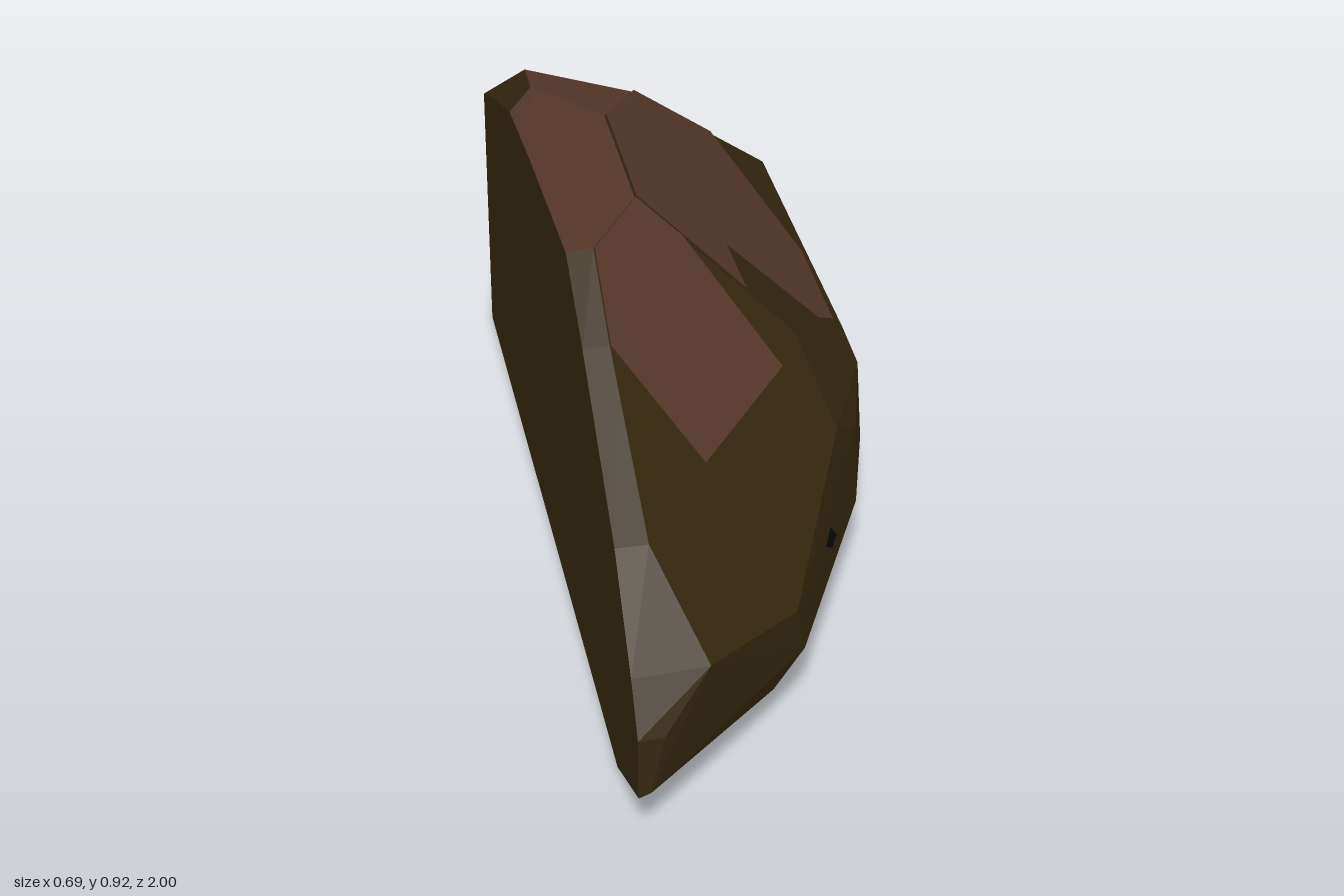
import * as THREE from 'three';
import { ConvexGeometry } from 'three/addons/geometries/ConvexGeometry.js';

const material = (name, color) =>
  Object.assign(new THREE.MeshStandardMaterial({ color, side: THREE.DoubleSide, flatShading: true }), { name });
const V = (p) => new THREE.Vector3(...p);

// Corners of the rock, grouped by area
const corners = [
  // front slope
  [-0.29, 0.91, 0.228], [-0.29, 0.79, 0.411], [-0.277, 0.55, 0.76], [-0.185, 0.36, 0.919],
  [0.035, 0.3, 0.698], [0.215, 0.425, 0.252], [0.155, 0.578, 0.103], [-0.175, 0.9155, 0.056],
  // nose and lower front
  [-0.345, 0.12, 1], [-0.345, 0.26, 1], [-0.32, 0.13, 1], [-0.29, 0.255, 0.99],
  [-0.013, 0.11, 0.7], [0.06, 0.175, 0.66],
  // wide side
  [0.28, 0.175, 0.17], [0.285, 0.34, 0.13], [0.345, 0.175, -0.07], [0.335, 0.37, -0.07], [0.33, 0.383, -0.2],
  // crest and rear slope
  [-0.17, 0.891, -0.34], [-0.05, 0.75, -0.69], [0.16, 0.525, -0.865], [-0.27, 0.75, -0.84], [-0.29, 0.83, -0.61],
  // flat back cut
  [-0.345, 0.61, -1], [-0.242, 0.646, -1], [0.232, 0.414, -1], [0.318, 0.3555, -1],
  [0.345, 0.175, -1], [0.19, 0.02, -1], [0.13, 0, -1], [-0.345, 0, -1],
  // flat side cut
  [-0.345, 0.69, -0.83], [-0.345, 0.8, -0.56], [-0.345, 0.845, -0.26], [-0.345, 0.9, 0.22],
  [-0.345, 0.79, 0.41], [-0.345, 0.55, 0.76], [-0.345, 0.36, 0.93],
  // underside
  [-0.345, 0, 0.75], [-0.31, 0, 0.75], [-0.04, 0, 0.53], [0.17, 0, -0.15],
];

// Worn brown areas
const frontWear = [
  [-0.29, 0.91, 0.228], [-0.29, 0.79, 0.411], [-0.12, 0.56, 0.521],
  [0.105, 0.56, 0.202], [-0.08, 0.819, 0.068], [-0.175, 0.9155, 0.056],
];
// x and z only; height follows the side slope
const sideWear = [
  [-0.175, 0.056], [-0.08, 0.068], [0.05, 0.09], [0.045, -0.1], [0.25, -0.105], [0.3, -0.18],
  [0.3, -0.5], [0.16, -0.865], [-0.05, -0.69], [-0.17, -0.34],
].map(([x, z]) => [x, 0.733 + 0.05 * z - 1.03 * x, z]);

// Dark pits, as x and y outlines cast onto the front
const pits = [
  [[0.14, 0.28], [0.16, 0.295], [0.185, 0.24], [0.165, 0.24]],
  [[-0.01, 0.083], [0.025, 0.12], [0.1, 0.122], [0.102, 0.11], [0.02, 0.065]],
  [[0.06, 0.035], [0.078, 0.04], [0.095, 0.08]],
];

// Thin flat plate lifted slightly off the rock
function plate(name, outline, mat, lift) {
  const pts = outline.map(V);
  const flat = pts.map((p) => new THREE.Vector2(p.z - p.x, p.y - 0.5 * (p.x + p.z)));
  const faces = THREE.ShapeUtils.triangulateShape(flat, []);
  const tri = new THREE.Triangle(...faces[0].map((i) => pts[i]));
  const normal = tri.getNormal(new THREE.Vector3());
  const outward = tri.getMidpoint(new THREE.Vector3()).sub(new THREE.Vector3(0, 0.35, 0));
  normal.multiplyScalar(normal.dot(outward) < 0 ? -lift : lift);
  pts.forEach((p) => p.add(normal));
  const geo = new THREE.BufferGeometry().setFromPoints(faces.flat().map((i) => pts[i]));
  geo.computeVertexNormals();
  const mesh = new THREE.Mesh(geo, mat);
  mesh.name = name;
  return mesh;
}

export function createModel() {
  const dark = material('dark stone', 0x35280f);
  const brown = material('brown stone', 0x56392a);
  const black = material('pit black', 0x07090c);
  const group = new THREE.Group();
  group.name = 'rock';

  // Body: top facets and underside are brown
  const geo = new ConvexGeometry(corners.map(V));
  const pos = geo.attributes.position;
  const tri = new THREE.Triangle();
  const n = new THREE.Vector3();
  const mid = new THREE.Vector3();
  for (let i = 0; i < pos.count; i += 3) {
    tri.setFromAttributeAndIndices(pos, i, i + 1, i + 2);
    tri.getNormal(n);
    tri.getMidpoint(mid);
    const isBrown = (n.y > 0.75 && mid.z < 0.2) || n.y < -0.99;
    geo.addGroup(i, 3, isBrown ? 1 : 0);
  }
  const body = new THREE.Mesh(geo, [dark, brown]);
  body.name = 'rockBody';
  body.updateMatrixWorld();
  group.add(body);

  group.add(plate('frontWear', frontWear, brown, 0.004));
  group.add(plate('sideWear', sideWear, brown, 0.006));
  group.add(plate('undersideCorner', [[-0.345, 0, -1], [-0.13, 0, -1], [-0.345, 0, -0.3]], dark, 0.002));

  const ray = new THREE.Raycaster();
  pits.forEach((outline, i) => {
    const pts = outline.map(([x, y]) => {
      ray.set(new THREE.Vector3(x, y, 3), new THREE.Vector3(0, 0, -1));
      const hit = ray.intersectObject(body)[0];
      return hit ? hit.point.toArray() : [x, y, 0.4];
    });
    group.add(plate('pit' + (i + 1), pts, black, 0.006));
  });
  return group;
}
